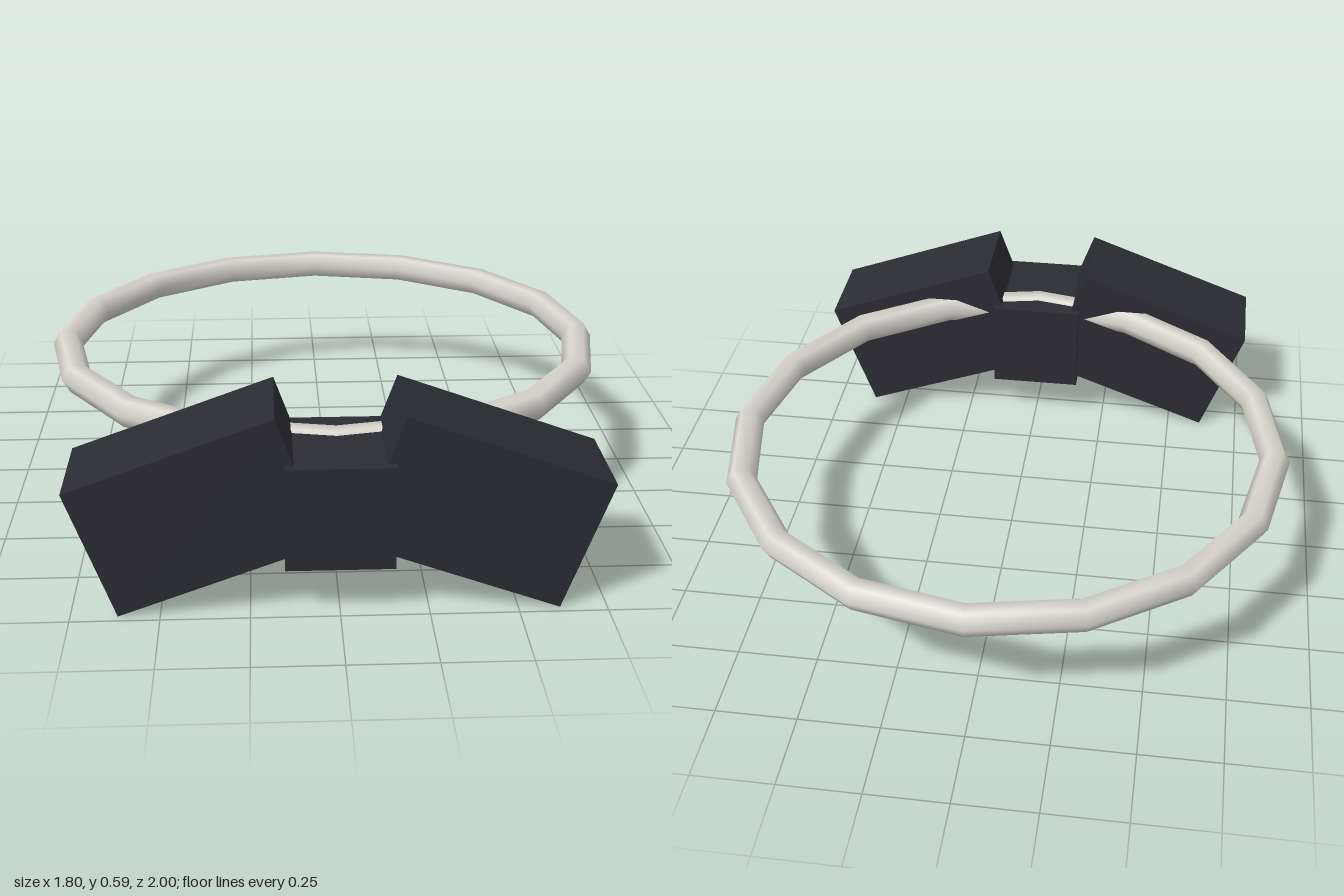
import * as THREE from 'three';

export function createModel() {
  const group = new THREE.Group();
  const fabric = new THREE.MeshStandardMaterial({ color: 0x2b2b33 });
  fabric.name = 'dark fabric';
  const band = new THREE.MeshStandardMaterial({ color: 0xd8d6cc });
  band.name = 'pale band';

  const add = (name, geometry, material, x, y, z) => {
    const mesh = new THREE.Mesh(geometry, material);
    mesh.name = name;
    mesh.position.set(x, y, z);
    group.add(mesh);
    return mesh;
  };

  // Collar ring: six-sided tube in sixteen segments
  const ring = add('collarRing', new THREE.TorusGeometry(0.852, 0.048, 6, 16), band, 0, 0.417, -0.1);
  ring.rotation.x = Math.PI / 2;

  // Bow: centre knot and two drooping wings
  add('bowKnot', new THREE.BoxGeometry(0.305, 0.305, 0.355), fabric, 0, 0.297, 0.8225);
  for (const side of [-1, 1]) {
    const wing = add(side > 0 ? 'leftWing' : 'rightWing',
      new THREE.BoxGeometry(0.615, 0.4, 0.307), fabric, side * 0.397, 0.2935, 0.823);
    wing.rotation.z = -side * THREE.MathUtils.degToRad(20);
  }
  return group;
}
